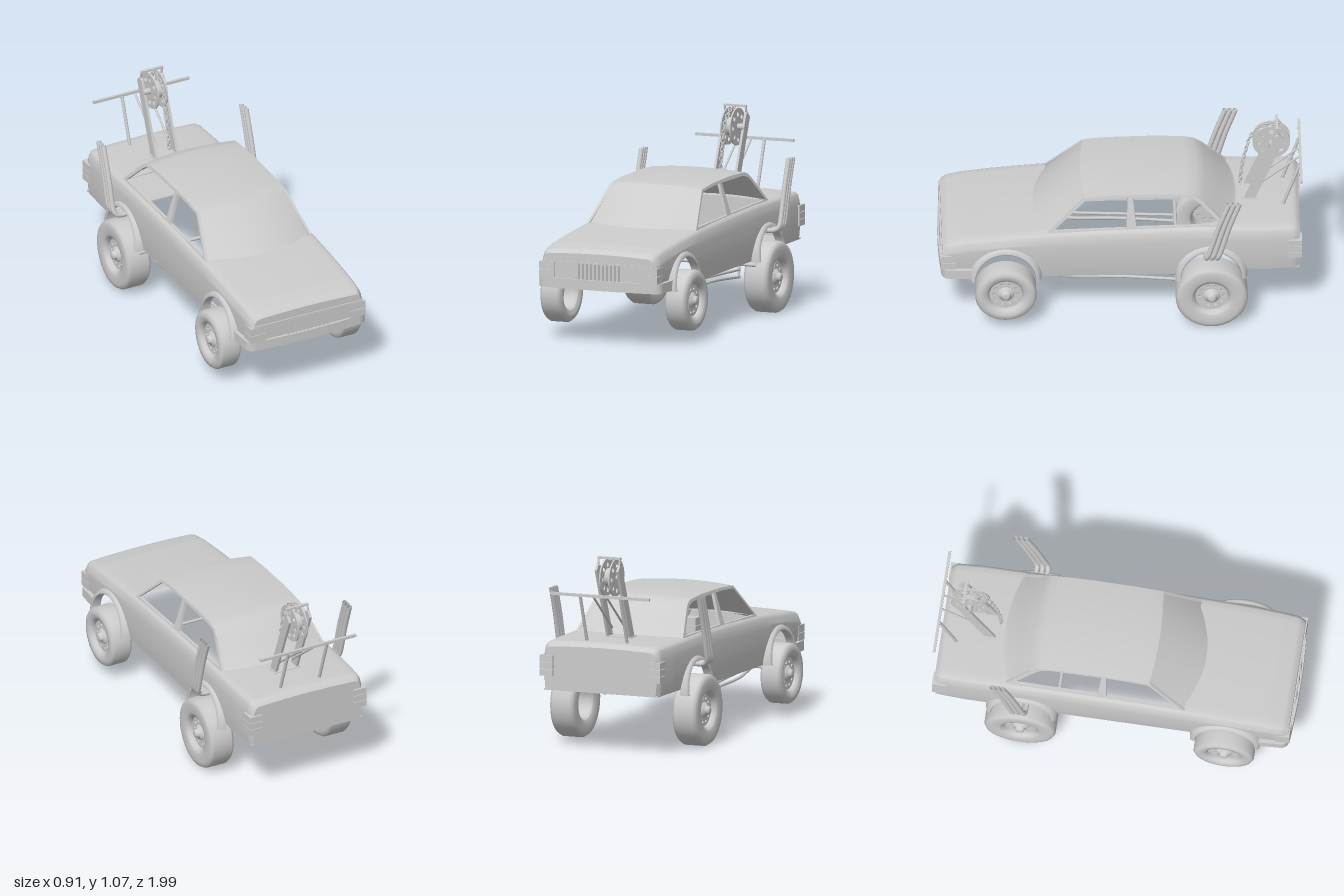
import * as THREE from 'three';

const V = (x, y, z) => new THREE.Vector3(x, y, z);
const material = new THREE.MeshStandardMaterial({ color: 0xcccccc, side: THREE.DoubleSide });

function add(parent, name, geometry) {
  const mesh = new THREE.Mesh(geometry, material);
  mesh.name = name;
  parent.add(mesh);
  return mesh;
}
function box(parent, name, w, h, d, x, y, z) {
  return add(parent, name, new THREE.BoxGeometry(w, h, d).translate(x, y, z));
}
function rod(parent, name, a, b, r) {
  return add(parent, name, new THREE.TubeGeometry(new THREE.LineCurve3(a, b), 1, r, 10));
}
// Piecewise linear lookup in a list of [key, value], keys falling
function lookup(list, k) {
  for (let i = 1; i < list.length; i++) {
    const [a, va] = list[i - 1], [b, vb] = list[i];
    if (k >= b) return va + (vb - va) * Math.min(1, Math.max(0, (a - k) / (a - b)));
  }
  return list[list.length - 1][1];
}
// Skin over rows of points; skip(i, j) leaves a quad open
function loft(rows, skip = () => false) {
  const n = rows[0].length, index = [];
  for (let i = 0; i < rows.length - 1; i++) for (let j = 0; j < n - 1; j++) {
    if (skip(i, j)) continue;
    const a = i * n + j, b = a + n;
    index.push(a, b, a + 1, b, b + 1, a + 1);
  }
  const g = new THREE.BufferGeometry().setFromPoints(rows.flat());
  g.setIndex(index);
  g.computeVertexNormals();
  return g;
}
// Extrude a shape drawn in (z, y) across x, from x - depth to x
function extrudeX(shape, depth, x) {
  return new THREE.ExtrudeGeometry(shape, { depth, bevelEnabled: false, curveSegments: 24 })
    .rotateY(-Math.PI / 2).translate(x, 0, 0);
}
const polygon = (pts) => new THREE.Shape(pts.map(([a, b]) => new THREE.Vector2(a, b)));
function holedDisc(r, count, ringR, holeR) {
  const s = new THREE.Shape().absarc(0, 0, r, 0, Math.PI * 2);
  for (let i = 0; i < count; i++) {
    const a = (i / count) * Math.PI * 2;
    s.holes.push(new THREE.Path().absarc(Math.cos(a) * ringR, Math.sin(a) * ringR, holeR, 0, Math.PI * 2, true));
  }
  return s;
}

const AXLES = [{ z: 0.63, y: 0.23, r: 0.167, w: 0.063, x: 0.373 }, { z: -0.495, y: 0.197, r: 0.197, w: 0.073, x: 0.365 }];
const ARCH_Y = 0.3, ARCH_R = 0.165;
const TOP = [[0.975, 0.495], [0.95, 0.515], [0.85, 0.535], [0.6, 0.56], [0.4, 0.577], [0, 0.593], [-0.4, 0.603], [-0.93, 0.6], [-0.96, 0.594], [-0.98, 0.575]];
const WIDTH = [[0.975, 0.335], [0.93, 0.35], [0.7, 0.357], [-0.8, 0.357], [-0.95, 0.35], [-0.98, 0.335]];
const BOTTOM = [[0.975, 0.34], [0.8, 0.34], [0.45, 0.3], [-0.33, 0.305], [-0.66, 0.335], [-0.98, 0.335]];

// Lower body: side walls with wheel openings, hood and trunk deck
function addBody(car) {
  const rows = [], zs = [], SIDE = 8, COUNT = 180;
  for (let i = 0; i <= COUNT; i++) {
    const z = 0.975 - (1.955 * i) / COUNT, top = lookup(TOP, z), w = lookup(WIDTH, z);
    let low = lookup(BOTTOM, z);
    for (const a of AXLES) {
      const d = ARCH_R ** 2 - (z - a.z) ** 2;
      if (d > 0) low = Math.max(low, ARCH_Y + Math.sqrt(d));
    }
    const half = [];
    for (let j = 0; j <= SIDE; j++) {
      const y = low + ((top - 0.05 - low) * j) / SIDE;
      half.push([w - 0.5 * (y - 0.46) ** 2, y]);
    }
    half.push([w - 0.012, top - 0.02], [w - 0.02, top - 0.008], [w - 0.033, top], [w - 0.07, top + 0.003], [w * 0.4, top + 0.008]);
    rows.push([...half.map(([x, y]) => V(x, y, z)), V(0, top + 0.01, z), ...half.reverse().map(([x, y]) => V(-x, y, z))]);
    zs.push(z);
  }
  const n = rows[0].length;
  add(car, 'bodyShell', loft(rows, (i, j) => zs[i] < 0.4 && zs[i + 1] > -0.575 && j >= SIDE + 3 && j < n - 4 - SIDE));
  // Front and rear panels close the ends
  for (const [name, row] of [['frontPanel', rows[0]], ['rearPanel', rows[rows.length - 1]]]) {
    const half = row.slice(0, (n + 1) / 2);
    add(car, name, loft([half, half.map((p) => V(-p.x, p.y, p.z))]));
  }
  box(car, 'trunkFloor', 0.68, 0.008, 0.27, 0, 0.337, -0.842);
}

// Windshield, roof and rear window skins; station = [z, y, half width, bow]
function addCabin(car) {
  const skin = (stations) => loft(stations.map(([z, y, w, k]) => {
    const row = [];
    for (let j = 0; j <= 16; j++) {
      const u = j / 8 - 1;
      row.push(V(u * w, y - 0.014 * u * u, z - k * u * u));
    }
    return row;
  }));
  add(car, 'windshield', skin([[0.48, 0.575, 0.325, 0.085], [0.345, 0.685, 0.298, 0.052], [0.215, 0.785, 0.272, 0.02]]));
  add(car, 'roof', skin([[0.215, 0.785, 0.272, 0.02], [0.17, 0.793, 0.272, 0.015], [0.05, 0.8, 0.273, 0.005], [-0.2, 0.805, 0.273, 0],
    [-0.36, 0.799, 0.272, -0.005], [-0.42, 0.788, 0.274, -0.01], [-0.47, 0.758, 0.28, -0.02], [-0.55, 0.685, 0.3, -0.035], [-0.61, 0.628, 0.313, -0.045], [-0.645, 0.605, 0.322, -0.05]]));
  // Side window frames with pillars, leaning in towards the roof
  const frame = polygon([[0.41, 0.565], [0.2, 0.77], [0.05, 0.784], [-0.2, 0.789], [-0.36, 0.783], [-0.415, 0.772], [-0.455, 0.74], [-0.595, 0.595]]);
  frame.holes.push(polygon([[0.37, 0.588], [0.19, 0.758], [0.05, 0.768], [-0.04, 0.77], [-0.03, 0.598]]));
  frame.holes.push(polygon([[-0.085, 0.602], [-0.068, 0.77], [-0.34, 0.768], [-0.4, 0.757], [-0.43, 0.735], [-0.555, 0.61]]));
  const g = extrudeX(frame, 0.016, 0);
  const p = g.attributes.position;
  for (let i = 0; i < p.count; i++) p.setX(i, p.getX(i) + 0.326 - (p.getY(i) - 0.58) * 0.275);
  g.computeVertexNormals();
  return g;
}

function addWheel(parent, name, { x, y, z, r, w }) {
  const wheel = new THREE.Group();
  wheel.name = name;
  wheel.position.set(x, y, z);
  parent.add(wheel);
  const rim = 0.102;
  const lathe = (pts) => new THREE.LatheGeometry(pts.map(([a, b]) => new THREE.Vector2(a, b)), 48).rotateZ(-Math.PI / 2);
  add(wheel, 'tire', lathe([[rim, -w * 0.85], [rim + 0.02, -w], [r - 0.03, -w], [r - 0.01, -w * 0.92], [r, -w * 0.7],
    [r, w * 0.7], [r - 0.01, w * 0.92], [r - 0.03, w], [rim + 0.02, w], [rim, w * 0.85]]));
  add(wheel, 'rimBarrel', lathe([[rim, -w * 0.85], [rim - 0.012, -w * 0.6], [rim - 0.012, w * 0.6], [rim - 0.004, w * 0.85], [rim + 0.008, w * 0.95]]));
  add(wheel, 'rimDisc', extrudeX(holedDisc(rim - 0.01, 10, 0.066, 0.009), 0.01, w * 0.55));
  add(wheel, 'hub', lathe([[0.045, w * 0.55], [0.036, w * 0.72], [0.024, w * 0.75], [0.022, w], [0.014, w * 1.05], [0, w * 1.05]]));
}

// Everything that is mirrored left and right, built on +x
function buildSide(windowFrame) {
  const side = new THREE.Group();
  add(side, 'windowFrame', windowFrame);
  AXLES.forEach((a, i) => {
    addWheel(side, i ? 'rearWheel' : 'frontWheel', a);
    const rows = [];
    for (let k = 0; k <= 32; k++) {
      const t = (k / 32) * Math.PI, c = Math.cos(t), s = Math.sin(t);
      const at = (rad, x) => V(x, ARCH_Y + s * rad, a.z + c * rad);
      const out = 0.375 + 0.02 * (1 - s);
      rows.push([at(0.198, 0.347), at(0.19, out - 0.008), at(0.172, out), at(ARCH_R, out - 0.004), at(ARCH_R, 0.335)]);
    }
    add(side, 'archFlare', loft(rows));
  });
  // Upright pipes rising beside the rear arch
  for (let i = 0; i < 3; i++) {
    const z = -0.465 - 0.03 * i, top = -0.59 - 0.028 * i;
    const path = new THREE.CatmullRomCurve3([V(0.35, 0.455, z), V(0.4, 0.456, z), V(0.425, 0.464, z), V(0.438, 0.485, z - 0.008),
      V(0.44, 0.52, z - 0.02), V(0.44, 0.68, (z + top) / 2 - 0.005), V(0.44, 0.838, top)]);
    add(side, 'uprightPipe', new THREE.TubeGeometry(path, 30, 0.0135, 12));
  }
  // Suspension arms under the sill
  rod(side, 'upperArm', V(0.27, 0.29, 0.46), V(0.27, 0.255, -0.31), 0.008);
  const lower = new THREE.CatmullRomCurve3([V(0.27, 0.285, 0.46), V(0.27, 0.25, 0.3), V(0.27, 0.24, 0), V(0.27, 0.215, -0.31)]);
  add(side, 'lowerArm', new THREE.TubeGeometry(lower, 20, 0.009, 8));
  rod(side, 'armBracket', V(0.27, 0.21, -0.3), V(0.27, 0.3, -0.31), 0.008);
  // Lamps, stacked in rows at the corners
  for (let i = 0; i < 2; i++) box(side, 'headlight', 0.09, 0.042, 0.08, 0.308, 0.382 + i * 0.045, 0.942);
  for (let i = 0; i < 3; i++) box(side, 'tailLight', 0.078, 0.036, 0.075, 0.321, 0.43 + i * 0.039, -0.953);
  // Rack behind the hoist
  rod(side, 'rackPost', V(0.12, 0.6, -0.89), V(0.12, 0.87, -0.985), 0.009);
  rod(side, 'rackBrace', V(0.04, 0.66, -0.73), V(0.04, 0.865, -0.983), 0.006);
  // Hoist arms and reel flanges
  add(side, 'hoistArm', extrudeX(polygon([[-0.675, 0.595], [-0.735, 0.595], [-0.9, 1.0], [-0.875, 1.03], [-0.85, 1.02]]), 0.014, 0.071));
  rod(side, 'hoistTopPost', V(0.063, 1.01, -0.875), V(0.063, 1.067, -0.86), 0.006);
  add(side, 'reelFlange', extrudeX(holedDisc(0.103, 8, 0.07, 0.014), 0.008, 0.031).translate(0, 0.955, -0.83));
  return side;
}

function addHoistCentre(car) {
  rod(car, 'reelAxle', V(-0.07, 0.955, -0.83), V(0.07, 0.955, -0.83), 0.018);
  add(car, 'reelDrum', new THREE.CylinderGeometry(0.05, 0.05, 0.05, 24).rotateZ(Math.PI / 2).translate(0, 0.955, -0.83));
  box(car, 'hoistTopBar', 0.135, 0.012, 0.015, 0, 1.066, -0.86);
  box(car, 'hoistBase', 0.16, 0.012, 0.09, 0, 0.608, -0.71);
  box(car, 'rackBar', 0.59, 0.015, 0.015, 0, 0.872, -0.988);
  // Chain of links turned crosswise, hanging over the reel
  const path = new THREE.CatmullRomCurve3([V(0, 1.06, -0.86), V(0, 1.05, -0.79), V(0, 0.99, -0.725), V(0, 0.9, -0.695), V(0, 0.78, -0.67), V(0, 0.68, -0.66)]);
  for (let i = 0; i <= 20; i++) {
    const link = add(car, 'chainLink', new THREE.TorusGeometry(0.009, 0.0035, 6, 12).scale(1, 1.5, 1).rotateY((i % 2) * Math.PI / 2 + Math.PI / 4));
    link.position.copy(path.getPointAt(i / 20));
    link.quaternion.setFromUnitVectors(V(0, 1, 0), path.getTangentAt(i / 20));
  }
}

export function createModel() {
  const car = new THREE.Group();
  car.name = 'pickupCar';
  addBody(car);
  const windowFrame = addCabin(car);

  // Wrap-around front bumper, a plan outline raised in y
  const plan = new THREE.Shape();
  plan.moveTo(-0.372, 0.8);
  plan.lineTo(-0.366, 0.94);
  plan.quadraticCurveTo(-0.36, 0.972, -0.32, 0.98);
  plan.quadraticCurveTo(0, 1.008, 0.32, 0.98);
  plan.quadraticCurveTo(0.36, 0.972, 0.366, 0.94);
  plan.lineTo(0.372, 0.8);
  plan.lineTo(0.345, 0.8);
  plan.lineTo(0.33, 0.95);
  plan.lineTo(-0.33, 0.95);
  plan.lineTo(-0.345, 0.8);
  add(car, 'frontBumper', new THREE.ExtrudeGeometry(plan, { depth: 0.055, bevelEnabled: false, curveSegments: 16 })
    .rotateX(Math.PI / 2).translate(0, 0.362, 0));

  // Grille slats and the ledge above them
  for (let i = 0; i < 11; i++) box(car, 'grilleSlat', 0.01, 0.088, 0.014, -0.12 + i * 0.024, 0.405, 0.978);
  box(car, 'grilleLedge', 0.66, 0.008, 0.012, 0, 0.453, 0.976);

  rod(car, 'rearCrossTube', V(-0.37, 0.285, -0.31), V(0.37, 0.285, -0.31), 0.01);
  rod(car, 'frontCrossTube', V(-0.33, 0.285, 0.46), V(0.33, 0.285, 0.46), 0.008);
  addHoistCentre(car);

  const left = buildSide(windowFrame);
  left.name = 'leftSide';
  const right = left.clone();
  right.name = 'rightSide';
  right.scale.x = -1;
  car.add(left, right);
  return car;
}
